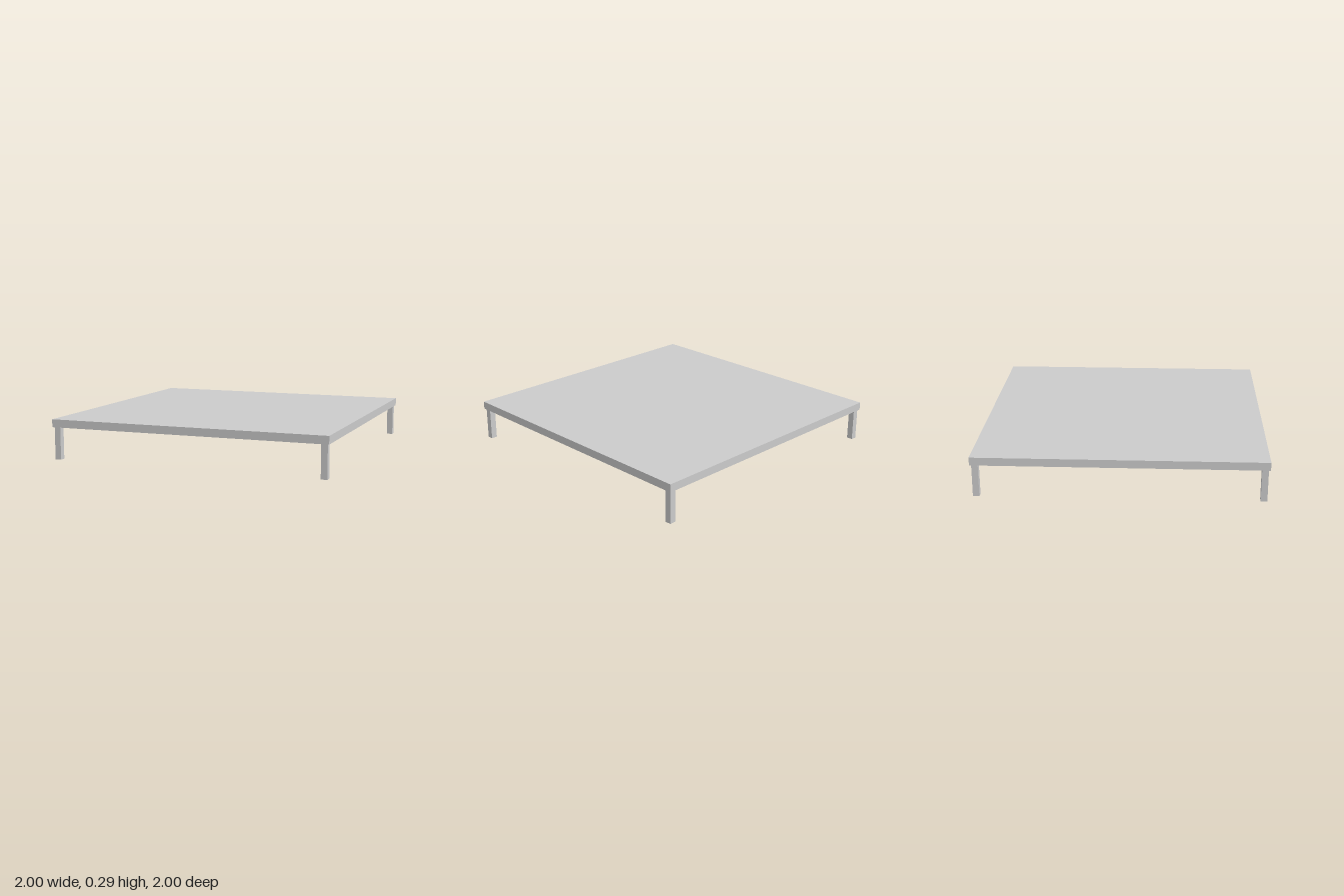
import * as THREE from 'three';

export function createModel() {
  const group = new THREE.Group();
  const material = new THREE.MeshStandardMaterial({ color: 0xcccccc });
  const legHeight = 0.23, legWidth = 0.044, legCentre = 0.966, topThickness = 0.056;

  function addBox(name, w, h, d, x, y, z) {
    const mesh = new THREE.Mesh(new THREE.BoxGeometry(w, h, d), material);
    mesh.name = name;
    mesh.position.set(x, y, z);
    group.add(mesh);
  }

  // Square slab
  addBox('platformTop', 2, topThickness, 2, 0, legHeight + topThickness / 2, 0);

  // Four square legs, slightly inset from the corners
  for (const [side, x] of [['Left', 1], ['Right', -1]]) {
    for (const [end, z] of [['front', 1], ['back', -1]]) {
      addBox(`${end}${side}Leg`, legWidth, legHeight, legWidth, x * legCentre, legHeight / 2, z * legCentre);
    }
  }
  return group;
}
